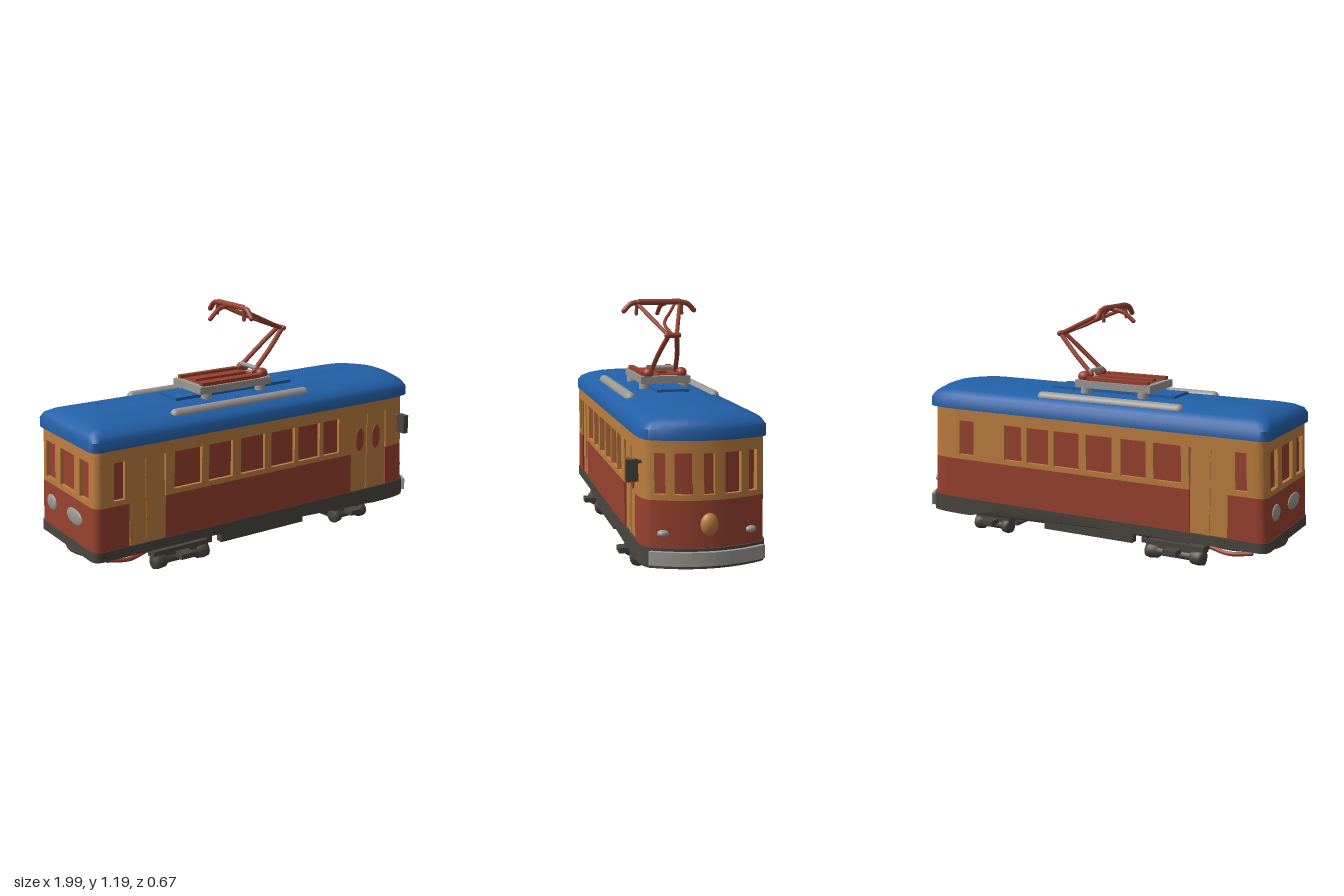
import * as THREE from 'three';
import { toCreasedNormals, mergeVertices } from 'three/addons/utils/BufferGeometryUtils.js';

const V = (x, y, z) => new THREE.Vector3(x, y, z);

export function createModel() {
  const mat = (name, color) => {
    const m = new THREE.MeshStandardMaterial({ color });
    m.name = name;
    return m;
  };
  const blue = mat('roof blue', 0x2260a8), cream = mat('ochre paint', 0xbd7d3f);
  const red = mat('brick red', 0x98412f), gray = mat('light metal', 0x9c9894);
  const dark = mat('dark iron', 0x4a453f);

  const tram = new THREE.Group();
  tram.name = 'tram';
  const add = (name, geo, m, x = 0, y = 0, z = 0) => {
    const mesh = new THREE.Mesh(geo, m);
    mesh.name = name;
    mesh.position.set(x, y, z);
    tram.add(mesh);
    return mesh;
  };
  const box = (name, m, x0, x1, y0, y1, z0, z1) =>
    add(name, new THREE.BoxGeometry(x1 - x0, y1 - y0, z1 - z0), m, (x0 + x1) / 2, (y0 + y1) / 2, (z0 + z1) / 2);
  const ball = (name, m, x, y, z, rx, ry, rz) =>
    add(name, new THREE.SphereGeometry(1, 20, 14), m, x, y, z).scale.set(rx, ry, rz);
  const tube = (name, m, r, ...pts) => {
    add(name, new THREE.TubeGeometry(new THREE.CatmullRomCurve3(pts), 16, r, 8), m);
    for (const p of [pts[0], pts[pts.length - 1]]) ball(name + 'End', m, p.x, p.y, p.z, r, r, r);
  };

  // Plan outline (x, z): rounded rear, narrowed corners and bowed nose
  const plan = (w, xb, xf) => {
    const r = 0.05, xc = xf - 0.065, zc = w - 0.04;
    const p = new THREE.Path();
    p.moveTo(xb + r, -w);
    p.lineTo(0.7, -w);
    p.quadraticCurveTo(xc - 0.02, -w, xc, -zc);
    p.quadraticCurveTo(2 * xf - xc, 0, xc, zc);
    p.quadraticCurveTo(xc - 0.02, w, 0.7, w);
    p.lineTo(xb + r, w);
    p.quadraticCurveTo(xb, w, xb, w - r);
    p.lineTo(xb, r - w);
    p.quadraticCurveTo(xb, -w, xb + r, -w);
    return p;
  };
  const upright = (pts, y0, y1) => {
    const shape = new THREE.Shape(pts.map(p => new THREE.Vector2(p.x, -p.y)));
    const g = new THREE.ExtrudeGeometry(shape, { depth: y1 - y0, bevelEnabled: false });
    g.rotateX(-Math.PI / 2).translate(0, y0, 0);
    const a = g.attributes.position;
    for (let i = 0; i < a.count; i++) a.setX(i, a.getX(i) * (1 + (0.4 - a.getY(i)) * 0.045));
    return g;
  };
  const finish = g => {
    g.deleteAttribute('uv');
    g.deleteAttribute('normal');
    return toCreasedNormals(mergeVertices(g, 1e-5), 0.6);
  };

  // Wall bands follow the outline, leaving gaps for windows and doors
  const N = 600;
  const wall = plan(0.288, -0.975, 0.955).getSpacedPoints(N);
  const nearest = (x, z) => {
    let best = 0;
    wall.forEach((p, i) => {
      if (Math.hypot(p.x - x, p.y - z) < Math.hypot(wall[best].x - x, wall[best].y - z)) best = i;
    });
    return best;
  };
  const strip = (pts, i0, i1, t, y0, y1) => {
    const inner = [];
    for (let i = i0; i <= i1; i++) {
      const d = pts[Math.min(i + 1, N)].clone().sub(pts[Math.max(i - 1, 0)]).normalize();
      inner.push(new THREE.Vector2(pts[i].x - d.y * t, pts[i].y + d.x * t));
    }
    return upright([...pts.slice(i0, i1 + 1), ...inner.reverse()], y0, y1);
  };
  const band = (name, m, y0, y1, gaps) => {
    let start = 0;
    const cuts = gaps.map(g => g.slice().sort((a, b) => a - b)).sort((a, b) => a[0] - b[0]);
    for (const [a, b] of [...cuts, [N, N]]) {
      if (a > start) add(name, finish(strip(wall, start, a, 0.022, y0, y1)), m);
      start = b;
    }
  };
  const side = (x0, x1, s) => [nearest(x0, 0.288 * s), nearest(x1, 0.288 * s)];
  const nose = (z0, z1) => [z0, z1].map(z => nearest(0.955 - 0.065 * (z / 0.248) ** 2, z));
  const rear = (z0, z1) => [nearest(-0.975, z0), nearest(-0.975, z1)];

  const doors = [side(-0.8, -0.61, 1), side(0.51, 0.75, 1), side(-0.79, -0.6, -1)];
  const windows = [side(0.63, 0.72, -1), rear(-0.22, -0.13), rear(-0.07, 0.07), rear(0.13, 0.22),
    nose(-0.23, -0.185), nose(-0.15, -0.07), nose(-0.023, 0.023), nose(0.07, 0.15), nose(0.185, 0.23)];
  for (const s of [1, -1]) {
    for (const [a, b] of [[-0.885, -0.83], [-0.56, -0.41], [-0.37, -0.235], [-0.185, -0.045],
      [0, 0.14], [0.17, 0.3], [0.33, 0.435]]) windows.push(side(a, b, s));
  }
  band('lowerWall', red, 0.165, 0.38, doors);
  band('windowSill', cream, 0.38, 0.405, doors);
  band('windowPillar', cream, 0.405, 0.585, [...doors, ...windows]);
  band('windowHeader', cream, 0.585, 0.66, []);
  const core = plan(0.27, -0.957, 0.937).getSpacedPoints(200);
  add('windowPanes', finish(upright(core, 0.14, 0.66)), red);

  // Recessed door leaves, seams and oval panes
  const door = (x0, x1, s) => {
    box('doorLeaf', cream, x0, x1, 0.16, 0.59, s * 0.274 - 0.006, s * 0.274 + 0.006);
    const xm = (x0 + x1) / 2;
    box('doorPost', cream, xm - 0.008, xm + 0.008, 0.17, 0.585, s * 0.28 - 0.004, s * 0.28 + 0.004);
  };
  door(-0.8, -0.61, 1);
  door(0.51, 0.75, 1);
  door(-0.79, -0.6, -1);
  for (const x of [0.575, 0.685]) {
    const pane = add('doorWindow', new THREE.CylinderGeometry(1, 1, 0.006, 20), red, x, 0.45, 0.282);
    pane.rotation.x = Math.PI / 2;
    pane.scale.set(0.026, 1, 0.062);
  }

  // Domed roof, lofted through shrinking outlines
  const rings = [[0.645, 0], [0.69, 0], [0.715, 0.018], [0.735, 0.06], [0.75, 0.12], [0.76, 0.2]]
    .map(([y, d]) => plan(0.293 - d, -0.98 + d * 0.7, 0.978 - d * 0.7).getPoints(10).slice(0, -1).map(p => V(p.x, y, p.y)));
  const n = rings[0].length, idx = [];
  rings.slice(1).forEach((_, k) => {
    for (let i = 0; i < n; i++) {
      const a = k * n + i, b = k * n + (i + 1) % n;
      idx.push(a, a + n, b, b, a + n, b + n);
    }
  });
  const top = rings.length * n;
  for (let i = 0; i < n; i++) {
    idx.push(top, top - n + (i + 1) % n, top - n + i, top + 1, i, (i + 1) % n);
  }
  const roof = new THREE.BufferGeometry().setFromPoints([...rings.flat(), V(0, 0.765, 0), V(0, 0.645, 0)]);
  roof.setIndex(idx);
  add('roof', toCreasedNormals(roof, 0.7), blue);
  box('roofPanel', blue, -0.42, 0.27, 0.75, 0.775, -0.08, 0.08);
  for (const s of [1, -1]) {
    const rail = add('roofRail', new THREE.CapsuleGeometry(0.027, 0.75, 6, 12), gray, -0.125, 0.737, s * 0.208);
    rail.rotation.z = Math.PI / 2;
  }

  // Dark skirt dropping into a deeper front apron, floor and bumper
  const skirt = strip(plan(0.291, -0.978, 0.965).getSpacedPoints(N), 0, N, 0.03, 0.125, 0.172);
  const sp = skirt.attributes.position;
  for (let i = 0; i < sp.count; i++) {
    if (sp.getY(i) < 0.15) sp.setY(i, 0.125 - 0.042 * THREE.MathUtils.smoothstep(sp.getX(i), 0.48, 0.68));
  }
  add('skirt', finish(skirt), dark);
  add('floor', finish(upright(core, 0.125, 0.14)), dark);
  const bumper = plan(0.294, -0.98, 0.986).getSpacedPoints(N);
  const front = bumper.map((p, i) => (p.x > 0.91 ? i : -1)).filter(i => i >= 0);
  add('bumper', finish(strip(bumper, front[0], front[front.length - 1], 0.035, 0.1, 0.16)), gray);

  // Lamps and mirror
  ball('headlamp', cream, 0.957, 0.275, 0, 0.03, 0.05, 0.04);
  for (const s of [1, -1]) {
    ball('markerLamp', gray, 0.918, 0.235, s * 0.195, 0.022, 0.017, 0.028);
    ball('tailLamp', gray, -0.98, 0.29, s * 0.12 - 0.04, 0.012, 0.04, s > 0 ? 0.08 : 0.05);
  }
  box('mirror', dark, 0.825, 0.855, 0.455, 0.552, 0.292, 0.345);
  tube('mirrorArm', dark, 0.008, V(0.83, 0.54, 0.26), V(0.84, 0.54, 0.3));

  // Running gear
  const spool = [[0, -0.1], [0.034, -0.1], [0.038, -0.085], [0.034, -0.06], [0.02, -0.05], [0.02, 0.05],
    [0.034, 0.06], [0.038, 0.085], [0.034, 0.1], [0, 0.1]].map(p => new THREE.Vector2(...p));
  for (const [xc, len] of [[-0.515, 1.5], [0.53, 1.05]]) {
    for (const s of [1, -1]) {
      const gear = add('axleSpring', new THREE.LatheGeometry(spool, 16), dark, xc, 0.045, s * 0.248);
      gear.rotation.z = -Math.PI / 2;
      gear.scale.y = len;
      box('bogieFrame', dark, xc - 0.1 * len, xc + 0.1 * len, 0.065, 0.1, s * 0.235 - 0.03, s * 0.235 + 0.03);
      box('bogieHanger', dark, xc - 0.035, xc + 0.035, 0.055, 0.08, s * 0.29 - 0.035, s * 0.29 + 0.035);
      box('bogiePost', dark, xc - 0.06, xc + 0.06, 0.08, 0.13, s * 0.22 - 0.02, s * 0.22 + 0.02);
    }
    box('motor', dark, xc - 0.09, xc + 0.09, 0.025, 0.13, -0.17, 0.17);
    box('motorCover', dark, xc - 0.06, xc + 0.06, 0.005, 0.03, 0.03, 0.16);
  }
  for (const s of [1, -1]) {
    box('sideTank', dark, -0.3, 0.2, 0.075, 0.135, s * 0.265 - 0.02, s * 0.265 + 0.02);
    box('hangerTab', dark, -0.37, -0.34, 0.08, 0.13, s * 0.25 - 0.015, s * 0.25 + 0.015);
    box('hangerTab', dark, 0.34, 0.37, 0.08, 0.13, s * 0.25 - 0.015, s * 0.25 + 0.015);
    tube('guardBrace', red, 0.011, V(-0.88, 0.088, s * 0.2), V(-0.78, 0.08, s * 0.225), V(-0.68, 0.088, s * 0.2));
  }
  const hoop = add('guardHoop', new THREE.TorusGeometry(0.19, 0.016, 8, 32), dark, -0.77, 0.1, 0);
  hoop.rotation.x = Math.PI / 2;

  // Pantograph base
  for (const s of [1, -1]) {
    box('baseRail', gray, -0.31, 0.11, 0.785, 0.82, s * 0.105 - 0.022, s * 0.105 + 0.022);
    box('baseTrim', red, -0.29, 0.05, 0.82, 0.838, s * 0.1 - 0.014, s * 0.1 + 0.014);
    for (const x of [-0.26, 0.06]) {
      add('insulator', new THREE.CylinderGeometry(0.025, 0.03, 0.05, 12), gray, x, 0.768, s * 0.1);
    }
    ball('springDrum', red, 0.08, 0.835, s * 0.085, 0.032, 0.028, 0.028);
  }
  for (const x of [-0.29, 0.09]) box('baseCross', gray, x - 0.02, x + 0.02, 0.785, 0.822, -0.12, 0.12);
  box('basePlate', red, -0.28, 0.07, 0.8, 0.825, -0.085, 0.085);
  box('baseBar', red, -0.27, 0.03, 0.825, 0.838, -0.02, 0.02);
  tube('crossTube', gray, 0.012, V(0.06, 0.86, -0.06), V(0.06, 0.86, 0.06));

  // Folding arms and collector head
  for (const s of [1, -1]) {
    tube('lowerArm', red, 0.012, V(0.05, 0.845, s * 0.062), V(0.16, 0.945, s * 0.045), V(0.255, 1.035, s * 0.02));
    tube('upperArm', red, 0.01, V(0.255, 1.035, s * 0.02), V(-0.04, 1.165, s * 0.105));
    tube('headHorn', red, 0.013, V(-0.05, 1.182, s * 0.1), V(-0.05, 1.175, s * 0.145), V(-0.05, 1.14, s * 0.182));
    tube('headDrop', red, 0.009, V(-0.05, 1.18, s * 0.115), V(-0.05, 1.125, s * 0.118));
  }
  tube('elbow', red, 0.014, V(0.257, 1.037, -0.028), V(0.257, 1.037, 0.028));
  tube('headBar', red, 0.015, V(-0.05, 1.183, -0.105), V(-0.05, 1.183, 0.105));
  tube('controlRod', red, 0.008, V(0.24, 1.04, 0), V(0.12, 1.085, 0.01), V(0, 1.14, -0.05), V(-0.05, 1.17, -0.08));
  tube('headHandle', red, 0.011, V(-0.05, 1.175, -0.03), V(-0.11, 1.16, -0.02), V(-0.16, 1.12, -0.015));

  tram.position.z = -0.008;
  const model = new THREE.Group();
  model.name = 'tramModel';
  model.add(tram);
  return model;
}
